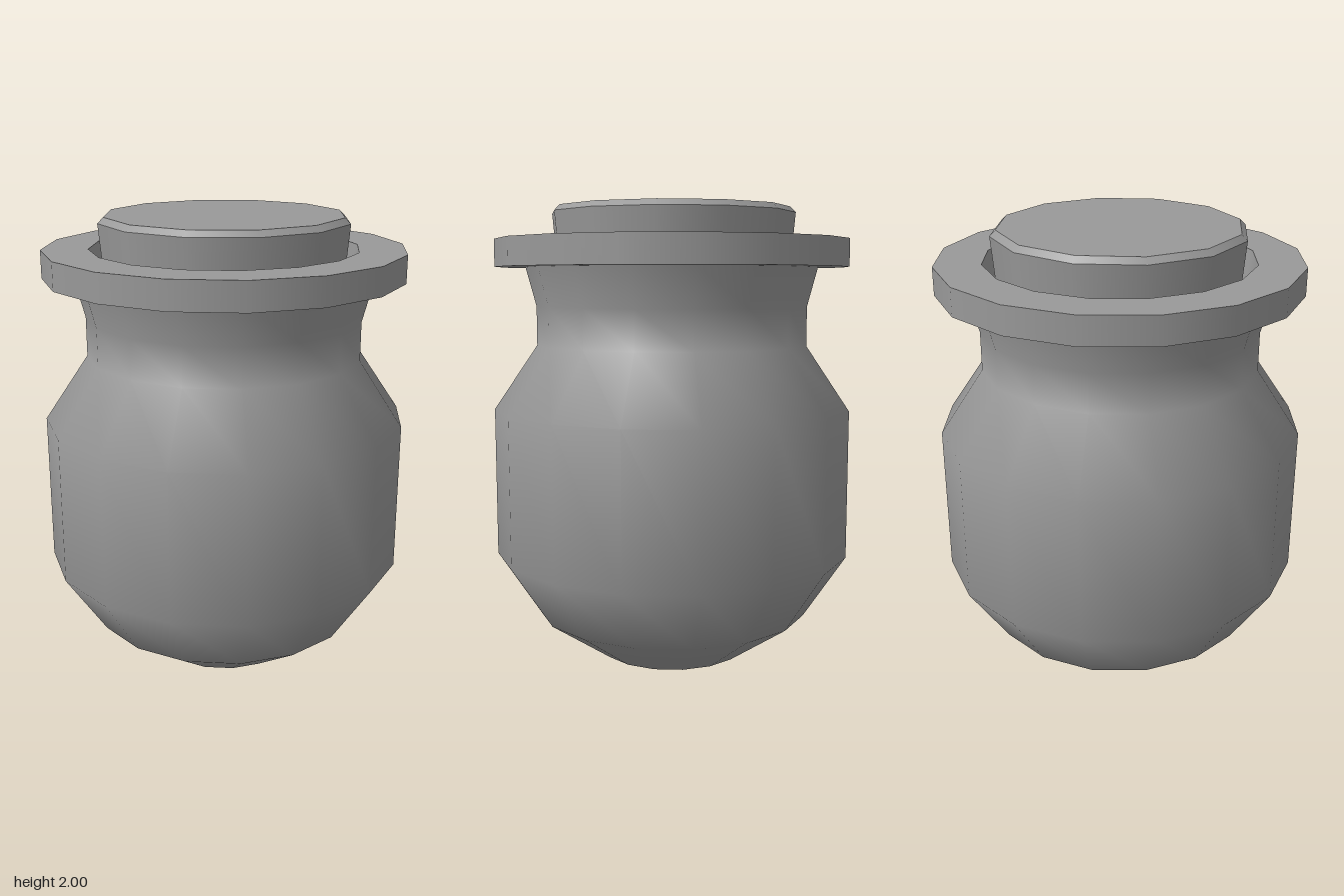
import * as THREE from 'three';

const stone = new THREE.MeshStandardMaterial({ color: 0x999999 });
stone.name = 'grey';

// Revolve a profile listed from the bottom, up the outside and down the inside
function turned(name, sides, profile) {
  const points = profile.map(([r, y]) => new THREE.Vector2(r, y));
  const mesh = new THREE.Mesh(new THREE.LatheGeometry(points, sides), stone);
  mesh.name = name;
  return mesh;
}

// Separate revolved bands, one per profile segment, so their edges stay sharp
function sharpTurned(name, sides, profile) {
  const group = new THREE.Group();
  group.name = name;
  for (let i = 0; i < profile.length - 1; i++) {
    group.add(turned(name + 'Band' + (i + 1), sides, [profile[i], profile[i + 1]]));
  }
  return group;
}

export function createModel() {
  const jar = new THREE.Group();
  jar.name = 'jar';

  // Flat foot and smoothly shaded belly and neck
  jar.add(turned('foot', 16, [[0, 0], [0.325, 0]]));
  jar.add(turned('body', 16, [
    [0.325, 0], [0.605, 0.19], [0.79, 0.47], [0.79, 1.12],
    [0.6, 1.4], [0.6, 1.57], [0.645, 1.74],
  ]));

  // Flat collar around the mouth
  jar.add(sharpTurned('rim', 16, [
    [0.645, 1.74], [0.778, 1.74], [0.778, 1.86], [0.578, 1.86],
  ]));

  // Inside of the neck, narrowing onto the stopper
  jar.add(turned('innerNeck', 16, [[0.578, 1.86], [0.53, 1.57], [0.5, 1.4]]));

  // Tapered stopper with a bevelled top edge
  jar.add(sharpTurned('stopper', 12, [
    [0, 1.42], [0.49, 1.42], [0.54, 1.975], [0.515, 2], [0, 2],
  ]));

  return jar;
}
